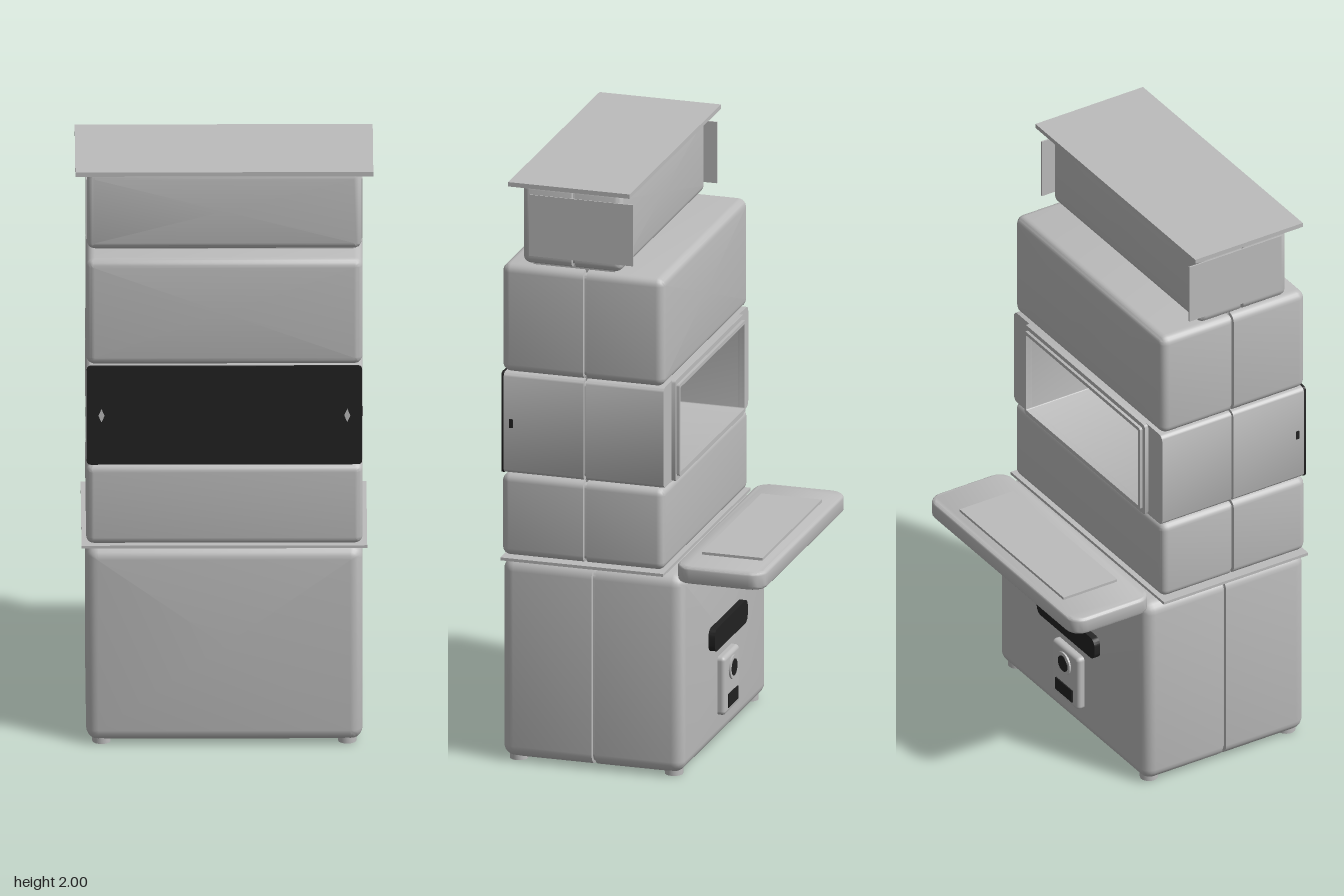
import * as THREE from 'three';
import { toCreasedNormals } from 'three/addons/utils/BufferGeometryUtils.js';
import { RoundedBoxGeometry } from 'three/addons/geometries/RoundedBoxGeometry.js';

const grey = new THREE.MeshStandardMaterial({ color: 0xbcbcbc });
grey.name = 'grey casing';
const black = new THREE.MeshStandardMaterial({ color: 0x222222 });
black.name = 'black panel';

// Corner points of a rounded rectangle, counter-clockwise
function ring(w, h, r) {
  const pts = [];
  for (let c = 0; c < 4; c++) {
    const sx = c === 0 || c === 3 ? 1 : -1, sy = c < 2 ? 1 : -1;
    for (let i = 0; i <= 5; i++) {
      const a = (c + i / 5) * Math.PI / 2;
      pts.push([sx * (w / 2 - r) + r * Math.cos(a), sy * (h / 2 - r) + r * Math.sin(a)]);
    }
  }
  return pts;
}

// Rounded case lofted along z, with a narrow groove at z = seam
function caseGeometry(w, y0, y1, z0, z1, r, seam) {
  const sections = [];
  for (let i = 0; i <= 5; i++) {
    const t = i / 5 * Math.PI / 2;
    sections.push([z0 + r * (1 - Math.cos(t)), r * (1 - Math.sin(t))]);
  }
  const tail = sections.map(([z, inset]) => [z0 + z1 - z, inset]).reverse();
  sections.push([seam - 0.006, 0], [seam - 0.004, 0.01], [seam + 0.004, 0.01], [seam + 0.006, 0], ...tail);
  const pos = [], index = [], n = 24, mid = (y0 + y1) / 2;
  for (const [z, s] of sections) {
    for (const [x, y] of ring(w - 2 * s, y1 - y0 - 2 * s, Math.max(r - s, 0.002))) pos.push(x, y + mid, z);
  }
  const last = (sections.length - 1) * n, centre = pos.length / 3;
  pos.push(0, mid, z0, 0, mid, z1);
  for (let j = 0; j < n; j++) {
    const k = (j + 1) % n;
    for (let o = 0; o < last; o += n) index.push(o + j, o + k, o + n + k, o + j, o + n + k, o + n + j);
    index.push(centre, k, j, centre + 1, last + j, last + k);
  }
  const g = new THREE.BufferGeometry();
  g.setAttribute('position', new THREE.Float32BufferAttribute(pos, 3));
  g.setIndex(index);
  return toCreasedNormals(g, 0.6);
}

function roundedShape(Type, w, h, r) {
  return new Type(ring(w, h, r).map(([x, y]) => new THREE.Vector2(x, y)));
}

export function createModel() {
  const model = new THREE.Group();
  model.name = 'stackedCabinet';

  function add(name, geometry, material = grey, x = 0, y = 0, z = 0) {
    const mesh = new THREE.Mesh(geometry, material);
    mesh.name = name;
    mesh.position.set(x, y, z);
    model.add(mesh);
    return mesh;
  }
  const box = (name, x0, x1, y0, y1, z0, z1, material = grey) =>
    add(name, new THREE.BoxGeometry(x1 - x0, y1 - y0, z1 - z0), material, (x0 + x1) / 2, (y0 + y1) / 2, (z0 + z1) / 2);
  // Plate with rounded outline, optional hole, extruded from z0 to z1
  function plate(name, w, h, r, y, z0, z1, material = grey, hole) {
    const shape = roundedShape(THREE.Shape, w, h, r);
    if (hole) shape.holes.push(roundedShape(THREE.Path, hole[0], hole[1], 0.004));
    const g = new THREE.ExtrudeGeometry(shape, { depth: z1 - z0, bevelEnabled: false });
    return add(name, toCreasedNormals(g, 0.6), material, 0, y, z0);
  }

  // Solid stacked cases
  add('baseCabinet', caseGeometry(0.9, 0.012, 0.692, -0.17, 0.45, 0.04, 0.135));
  add('lowerCase', caseGeometry(0.9, 0.705, 0.984, -0.105, 0.45, 0.025, 0.165));
  add('upperCase', caseGeometry(0.9, 1.334, 1.705, -0.105, 0.45, 0.028, 0.165));
  add('topCase', caseGeometry(0.894, 1.712, 1.985, 0.04, 0.38, 0.025, 0.205));

  // Feet
  for (const x of [-0.4, 0.4]) for (const z of [-0.125, 0.405]) {
    add('foot', new THREE.CylinderGeometry(0.03, 0.03, 0.03, 20), grey, x, 0.015, z);
  }

  // Thin divider above the base, and joints between cases
  box('dividerPlate', -0.465, 0.465, 0.692, 0.702, -0.108, 0.448);
  box('lowerJoint', -0.42, 0.42, 0.975, 1.0, -0.07, 0.42);
  box('upperJoint', -0.42, 0.42, 1.32, 1.345, -0.07, 0.42);
  box('topJoint', -0.42, 0.42, 1.695, 1.72, 0.07, 0.35);

  // Hollow window case, open at the back, with black front panel
  plate('windowCaseBack', 0.9, 0.345, 0.02, 1.16, -0.105, 0.161, grey, [0.68, 0.29]);
  plate('windowCaseSeam', 0.88, 0.325, 0.015, 1.16, 0.161, 0.169, grey, [0.68, 0.29]);
  plate('windowCaseFront', 0.9, 0.345, 0.02, 1.16, 0.169, 0.442, grey, [0.68, 0.29]);
  box('windowInnerFront', -0.345, 0.345, 1.01, 1.31, 0.42, 0.435);
  plate('frontPanel', 0.896, 0.345, 0.012, 1.16, 0.442, 0.45, black);
  plate('windowFrame', 0.73, 0.345, 0.012, 1.16, -0.118, -0.105, grey, [0.68, 0.29]);
  plate('windowFrameLip', 0.70, 0.315, 0.008, 1.16, -0.128, -0.118, grey, [0.68, 0.29]);
  for (const s of [-1, 1]) {
    const mark = add('panelLatch', new THREE.CircleGeometry(0.02, 4), grey, s * 0.4, 1.16, 0.452);
    mark.scale.set(0.5, 1.2, 1);
    box('sideSlot', s * 0.45 - 0.002, s * 0.45 + 0.002, 1.145, 1.175, 0.41, 0.422, black);
  }

  // Top case side plates and roof
  for (const s of [-1, 1]) {
    box('topSidePlate', s * 0.4475 - 0.0025, s * 0.4475 + 0.0025, 1.742, 1.952, 0, 0.355);
  }
  box('roof', -0.485, 0.485, 1.985, 2, 0, 0.415);

  // Rear shelf with raised pad
  const shelf = plate('shelf', 0.876, 0.281, 0.04, 0, 0, 1);
  shelf.geometry = toCreasedNormals(new THREE.ExtrudeGeometry(roundedShape(THREE.Shape, 0.876, 0.281, 0.04), {
    depth: 0.036, bevelEnabled: true, bevelSize: 0.012, bevelThickness: 0.012, bevelSegments: 4,
  }), 0.6);
  shelf.rotation.x = -Math.PI / 2;
  shelf.position.set(0, 0.682, -0.2925);
  box('shelfPad', -0.315, 0.315, 0.725, 0.739, -0.4, -0.193);

  // Rear vent and control box
  plate('rearVent', 0.35, 0.078, 0.025, 0.385, -0.192, -0.165, black);
  add('controlBox', new RoundedBoxGeometry(0.16, 0.2, 0.04, 3, 0.014), grey, 0, 0.2, -0.176);
  const dial = (name, r, depth, z, material) => {
    const mesh = add(name, new THREE.CylinderGeometry(r, r, depth, 28), material, 0, 0.245, z);
    mesh.rotation.x = Math.PI / 2;
  };
  dial('dialRing', 0.04, 0.008, -0.198, grey);
  dial('dialFace', 0.028, 0.006, -0.201, black);
  box('controlDisplay', -0.05, 0.05, 0.12, 0.165, -0.2, -0.193, black);

  return model;
}
